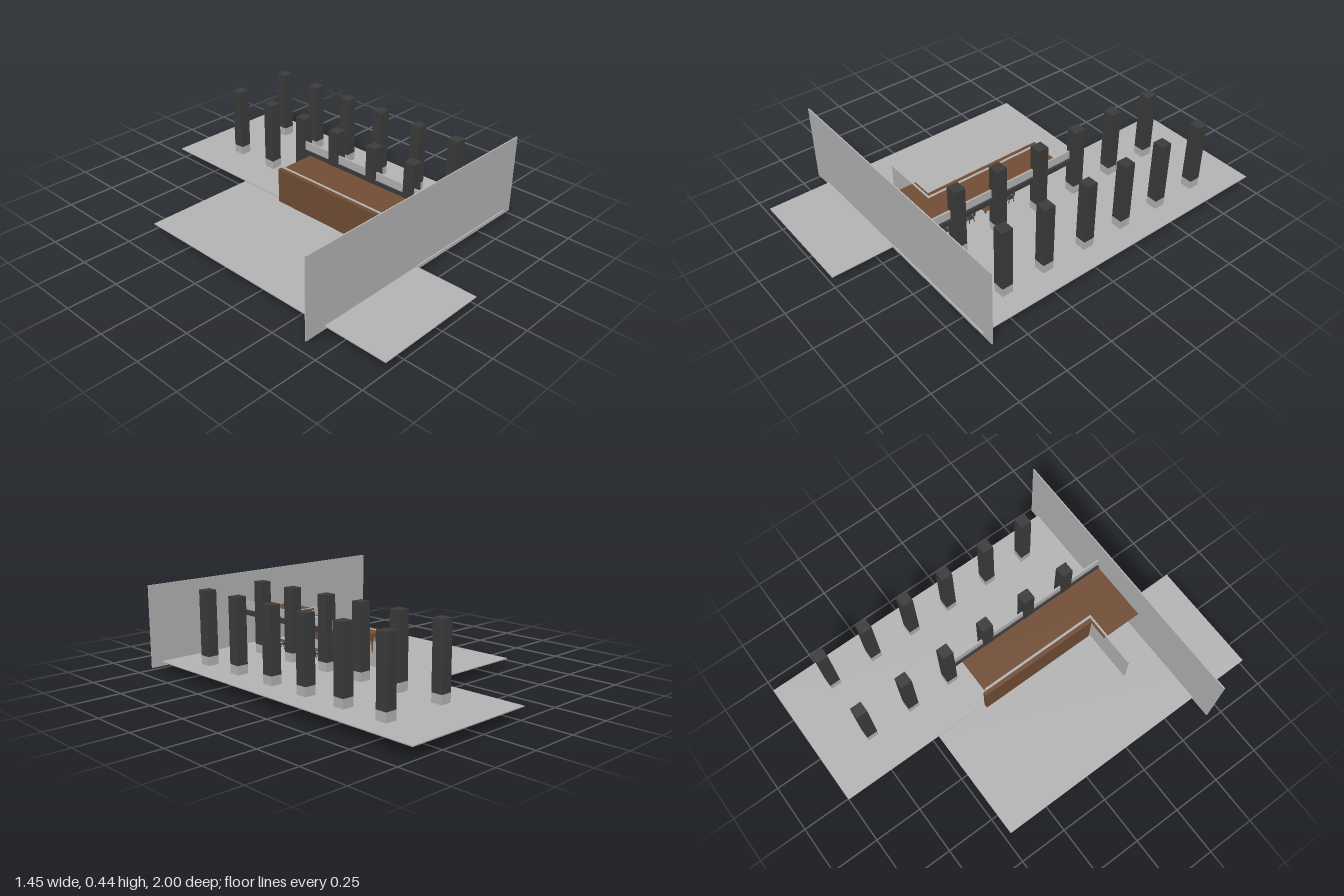
import * as THREE from 'three';

export function createModel() {
  const model = new THREE.Group();
  model.name = 'pavilion';
  const mat = (name, color) => Object.assign(new THREE.MeshStandardMaterial({ color }), { name });
  const concrete = mat('light grey concrete', 0xb5b5b5);
  const timber = mat('brown timber', 0x724e35);
  const steel = mat('dark steel', 0x3c3c3c);

  // Box given by its limits along each axis
  const box = (name, material, x0, x1, y0, y1, z0, z1, parent = model) => {
    const mesh = new THREE.Mesh(new THREE.BoxGeometry(x1 - x0, y1 - y0, z1 - z0), material);
    mesh.position.set((x0 + x1) / 2, (y0 + y1) / 2, (z0 + z1) / 2);
    mesh.name = name;
    parent.add(mesh);
    return mesh;
  };

  // Two offset floor slabs and the tall front wall
  box('mainFloor', concrete, -0.02, 0.67, 0.055, 0.06, -1, 0.68);
  box('sideFloor', concrete, -0.615, -0.015, 0.05, 0.055, -0.47, 1);
  box('frontWall', concrete, -0.725, 0.725, 0.035, 0.445, 0.667, 0.673);

  // Two rows of columns on concrete footings
  const h = 0.029;
  for (const x of [0.197, 0.53]) {
    for (const z of [-0.73, -0.485, -0.25, -0.02, 0.225, 0.457]) {
      box('footing', concrete, x - h, x + h, 0, 0.105, z - h, z + h);
      box('column', steel, x - h, x + h, 0.105, 0.428, z - h, z + h);
    }
  }

  // L-shaped timber roof
  const outline = [[-0.012, -0.18], [0.17, -0.18], [0.17, 0.667], [-0.145, 0.667], [-0.145, 0.452], [-0.012, 0.452]];
  const roofGeo = new THREE.ExtrudeGeometry(
    new THREE.Shape(outline.map(([x, z]) => new THREE.Vector2(x, -z))), { depth: 0.008, bevelEnabled: false });
  roofGeo.rotateX(-Math.PI / 2);
  const roof = new THREE.Mesh(roofGeo, timber);
  roof.position.y = 0.232;
  roof.name = 'roof';
  model.add(roof);

  // Timber back wall, its lining, and the return wall
  box('backWall', timber, -0.042, -0.021, 0.055, 0.24, -0.192, 0.455);
  box('wallLining', concrete, -0.021, -0.009, 0.045, 0.242, -0.175, 0.472);
  box('returnWall', concrete, -0.318, -0.009, 0.045, 0.242, 0.462, 0.472);

  // Timber mural panel with pale silhouettes
  box('muralPanel', timber, -0.009, -0.006, 0.125, 0.232, -0.172, 0.452);
  const figure = [[-0.02, 0], [-0.014, 0.04], [-0.017, 0.058], [-0.007, 0.052], [-0.002, 0.085],
    [0.004, 0.05], [0.012, 0.064], [0.011, 0.03], [0.02, 0]];
  const silhouettes = [[0.405, 0.195, 0.35, 0.35], [0.355, 0.15, 0.5, 0.5], [0.195, 0.205, 0.4, 0.25],
    [0.045, 0.14, 1, 0.95], [-0.11, 0.125, 0.7, 0.8], [-0.14, 0.125, 0.7, 1.1]];
  const figureGeo = new THREE.ShapeGeometry(new THREE.Shape(figure.map(p => new THREE.Vector2(...p))));
  figureGeo.rotateY(Math.PI / 2);
  for (const [z, y, sz, sy] of silhouettes) {
    const mesh = new THREE.Mesh(figureGeo, concrete);
    mesh.position.set(-0.004, y, z);
    mesh.scale.set(1, sy, sz);
    mesh.name = 'silhouette';
    model.add(mesh);
  }

  // Eaves beam carrying an upright panel
  box('eavesBeam', steel, 0.17, 0.2, 0.235, 0.26, -0.25, 0.667);
  box('eavesPanel', concrete, 0.178, 0.187, 0.26, 0.303, -0.225, 0.667);

  // Chair facing +z when dir is 1, -z when dir is -1
  const addChair = (x, z, dir) => {
    const chair = new THREE.Group();
    chair.name = 'chair';
    chair.position.set(x, 0.06, z);
    chair.rotation.y = dir > 0 ? 0 : Math.PI;
    box('seat', steel, -0.017, 0.017, 0.023, 0.028, -0.016, 0.016, chair);
    box('backrest', steel, -0.017, 0.017, 0.034, 0.05, -0.021, -0.017, chair).rotation.x = -0.25;
    for (const sx of [-1, 1]) {
      const cx = sx * 0.015;
      box('armrest', steel, cx - 0.002, cx + 0.002, 0.037, 0.04, -0.017, 0.012, chair);
      for (const sz of [-1, 1]) {
        const cz = sz * 0.013;
        box('leg', steel, cx - 0.0015, cx + 0.0015, 0, 0.025, cz - 0.0015, cz + 0.0015, chair).rotation.x = -sz * 0.2;
      }
    }
    model.add(chair);
  };

  // Dining tables with facing chairs
  for (const z of [0.485, 0.34, 0.205, 0.1]) {
    const x = 0.07;
    box('tableTop', timber, x - 0.025, x + 0.025, 0.093, 0.097, z - 0.02, z + 0.02);
    box('tableLeg', steel, x - 0.003, x + 0.003, 0.06, 0.093, z - 0.003, z + 0.003);
    addChair(x, z - 0.042, 1);
    if (z !== 0.205) addChair(x, z + 0.042, -1);
  }
  return model;
}
